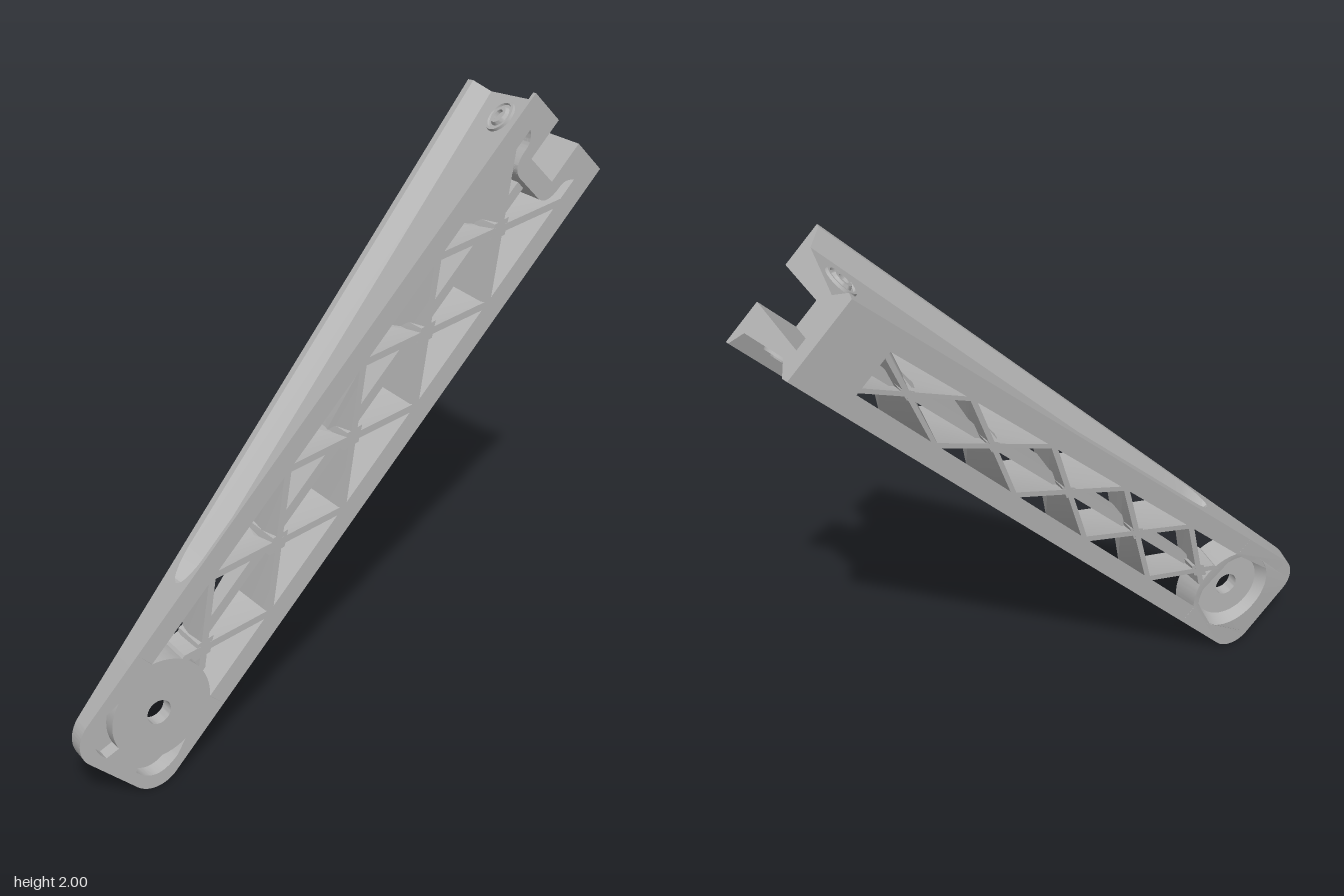
import * as THREE from 'three';
import { toCreasedNormals } from 'three/addons/utils/BufferGeometryUtils.js';

// Local frame: x runs along the arm from the pivot hole, y across it, z towards the front.
const FRONT = 0.19, END = 2.22, HALF = 0.212, WALL = 0.07, RAIL_START = 0.12, INNER = HALF - WALL;
const back = (u) => -0.19 + (END - u) * 0.13;            // sloping back face
const half = (z) => HALF - 0.187 * (FRONT - z);          // drafted outer half width
const inner = (z) => half(z) - WALL;                     // drafted inner half width
const drafted = (v, z) => v * inner(z) / INNER;

export function createModel() {
  const grey = new THREE.MeshStandardMaterial({ color: 0xb4b4b4 });
  grey.name = 'grey';
  const arm = new THREE.Group();
  arm.name = 'arm';

  const add = (name, geometry) => {
    const mesh = new THREE.Mesh(geometry, grey);
    mesh.name = name;
    arm.add(mesh);
    return mesh;
  };

  // Extrudes a shape between two z rules, then moves its points by a rule
  const slab = (name, shape, zFront, zBack, rule) => {
    const g = new THREE.ExtrudeGeometry(shape, { depth: 1, bevelEnabled: false, curveSegments: 20 });
    const p = g.attributes.position;
    for (let i = 0; i < p.count; i++) {
      const u = p.getX(i), v = p.getY(i), t = p.getZ(i);
      const z = zBack(u) + (zFront(u) - zBack(u)) * t;
      const [nu, nv] = rule(u, v, z, t);
      p.setXYZ(i, nu, nv, z);
    }
    g.computeVertexNormals();
    return add(name, toCreasedNormals(g, 0.5));
  };
  const polygon = (pts) => new THREE.Shape(pts.map(([x, y]) => new THREE.Vector2(x, y)));
  const circle = (r) => new THREE.Path().absarc(0, 0, r, 0, Math.PI * 2, true);

  // Pivot end: rounded outline with a bulging hub edge
  const pivotOutline = () => {
    const s = new THREE.Shape(), r = 0.1, hub = 0.185, a = Math.asin(INNER / hub);
    s.moveTo(RAIL_START, HALF);
    s.lineTo(-0.24 + r, HALF);
    s.absarc(-0.24 + r, HALF - r, r, Math.PI / 2, Math.PI, false);
    s.absarc(-0.24 + r, -HALF + r, r, Math.PI, Math.PI * 1.5, false);
    s.lineTo(RAIL_START, -HALF);
    s.absarc(0, 0, hub, -a, a, false);
    s.closePath();
    return s;
  };
  const outerDraft = (u, v, z) => [u, v * half(z) / HALF];

  const plate = pivotOutline();
  plate.holes.push(circle(0.042));
  for (const m of [1, -1]) {                             // crescent pockets in the corners
    const c = new THREE.Path(), pts = [];
    for (let i = 0; i <= 10; i++) {
      const a = (102 + i * 6) * Math.PI / 180;
      pts.push([Math.cos(a) * 0.165, m * Math.sin(a) * 0.165]);
    }
    c.moveTo(...pts[0]);
    pts.slice(1).forEach((q) => c.lineTo(...q));
    c.lineTo(-0.2, m * 0.07);
    c.quadraticCurveTo(-0.205, m * 0.175, -0.09, m * 0.175);
    c.closePath();
    plate.holes.push(c);
  }
  slab('pivotPlate', plate, () => FRONT, () => 0.145, (u, v, z) =>
    Math.hypot(u, v) < 0.05 ? [u, v] : outerDraft(u, v, z));

  // Ring behind the plate with a conical counterbore
  const ring = pivotOutline();
  ring.holes.push(circle(0.125));
  slab('pivotRing', ring, () => 0.145, back, (u, v, z, t) => {
    if (Math.hypot(u, v) > 0.13) return outerDraft(u, v, z);
    const k = 1 + 0.22 * (1 - t);
    return [u * k, v * k];
  });

  // Side rails: lofted sections with a wedge-shaped recess on the outside
  const section = (u) => {
    const zb = back(u), k = THREE.MathUtils.clamp((u - 0.36) / 0.11, 0, 1);
    const open = Math.sqrt(k * (2 - k)), depth = 0.05 * open;
    const mid = (zb + 0.03 + 0.175) / 2;
    const rim0 = THREE.MathUtils.lerp(mid, zb + 0.03, open), rim1 = THREE.MathUtils.lerp(mid, 0.175, open);
    const slope = Math.min(0.06, (rim1 - rim0) * 0.48);
    const f0 = rim0 + slope, f1 = rim1 - Math.min(0.035, slope);
    return [[inner(zb), zb], [half(zb), zb], [half(rim0), rim0], [half(f0) - depth, f0],
      [half(f1) - depth, f1], [half(rim1), rim1], [HALF, FRONT], [INNER, FRONT]];
  };
  const railGeometry = (m) => {
    const us = [RAIL_START, 0.36, 0.37, 0.385, 0.41, 0.44, 0.47, 0.6, END];
    const secs = us.map(section), out = [];
    const tri = (...t) => (m > 0 ? t : t.reverse()).forEach(([x, y, z]) => out.push(x, m * y, z));
    for (let i = 0; i < us.length - 1; i++) {
      for (let j = 0; j < 8; j++) {
        const k = (j + 1) % 8;
        const a = [us[i], ...secs[i][j]], b = [us[i], ...secs[i][k]];
        const c = [us[i + 1], ...secs[i + 1][k]], d = [us[i + 1], ...secs[i + 1][j]];
        tri(a, b, c);
        tri(a, c, d);
      }
    }
    const last = secs[secs.length - 1];
    const contour = last.map(([y, z]) => new THREE.Vector2(y, z));
    for (const f of THREE.ShapeUtils.triangulateShape(contour, [])) {
      tri(...f.map((i) => [END, ...last[i]]));
    }
    const g = new THREE.BufferGeometry();
    g.setAttribute('position', new THREE.Float32BufferAttribute(out, 3));
    g.computeVertexNormals();
    return toCreasedNormals(g, 0.35);
  };
  add('leftRail', railGeometry(-1));
  add('rightRail', railGeometry(1));

  // Crossing lattice ribs
  const ruleDraft = (u, v, z) => [u, drafted(v, z)];
  const w = 0.02;
  for (let n = 0; n < 5; n++) {
    const c = 0.24 + n * 0.4;
    for (const m of [1, -1]) {
      const from = n === 0 ? [c - 0.07, -0.051 * m] : [c - 0.2, -0.146 * m];
      const pts = [[from[0] - w, from[1]], [from[0] + w, from[1]],
        [c + 0.2 + w, 0.146 * m], [c + 0.2 - w, 0.146 * m]];
      slab('latticeRib', polygon(pts), () => FRONT, back, ruleDraft);
    }
    // Filleted joint where the ribs cross
    slab('latticeNode', polygon([[c - 0.05, 0], [c, -0.03], [c + 0.05, 0], [c, 0.03]]),
      () => FRONT - 0.0005, (u) => back(u) + 0.0005, ruleDraft);
  }
  // Recessed centre spine
  slab('spine', polygon([[0.16, -0.017], [2.02, -0.017], [2.02, 0.017], [0.16, 0.017]]),
    () => 0.15, (u) => back(u) + 0.05, (u, v) => [u, v]);

  // Socket block at the far end, slotted to the front and the end face
  const slot = 0.066, socket = new THREE.Shape();
  socket.moveTo(END, -INNER);
  socket.lineTo(END, -slot);
  socket.lineTo(2.07, -slot);
  socket.lineTo(2.07, slot);
  socket.lineTo(END, slot);
  socket.lineTo(END, INNER);
  socket.lineTo(2.13, INNER);
  socket.quadraticCurveTo(2.11, 0.108, 2.08, 0.108);
  socket.quadraticCurveTo(2.0, 0.108, 2.0, 0.055);
  socket.lineTo(2.0, -0.055);
  socket.quadraticCurveTo(2.0, -0.108, 2.08, -0.108);
  socket.quadraticCurveTo(2.11, -0.108, 2.13, -INNER);
  socket.closePath();
  slab('socketBlock', socket, () => FRONT, () => -0.13, (u, v, z) =>
    Math.abs(v) < 0.067 ? [u, v] : [u, Math.sign(v) * Math.max(0.068, Math.abs(drafted(v, z)))]);
  slab('socketBack', polygon([[2.0, -INNER], [END, -INNER], [END, INNER], [2.0, INNER]]),
    () => -0.13, back, ruleDraft);

  // Small screw seat on the slot floor
  const seat = add('slotScrew', new THREE.TorusGeometry(0.014, 0.004, 8, 20));
  seat.rotation.y = Math.PI / 2;
  seat.position.set(2.072, 0, 0.035);

  // Side bolts sunk into the rails
  for (const m of [1, -1]) {
    const bolt = new THREE.Group();
    bolt.name = m > 0 ? 'rightBolt' : 'leftBolt';
    const profile = [[0.018, 0], [0.018, 0.014], [0.03, 0.014], [0.036, 0.003], [0.044, 0.003],
      [0.047, 0.009], [0.055, 0.009], [0.057, 0]].map(([x, y]) => new THREE.Vector2(x, y));
    const g = toCreasedNormals(new THREE.LatheGeometry(profile.reverse(), 28), 0.5);
    const head = new THREE.Mesh(g, grey);
    head.name = 'boltHead';
    // Lathe profiles run upwards on the outside
    const socketFloor = new THREE.Mesh(new THREE.CylinderGeometry(0.018, 0.018, 0.004, 6), grey);
    socketFloor.name = 'boltSocket';
    bolt.add(head, socketFloor);
    bolt.position.set(2.14, m * (half(0.035) - 0.05), 0.035);
    bolt.rotation.x = m > 0 ? -0.185 : Math.PI + 0.185;
    arm.add(bolt);
  }

  // Lean the arm at 45 degrees
  arm.rotation.z = Math.PI / 4;
  arm.position.set(-0.72, 0.28, 0);
  const model = new THREE.Group();
  model.name = 'latticeArm';
  model.add(arm);
  return model;
}
